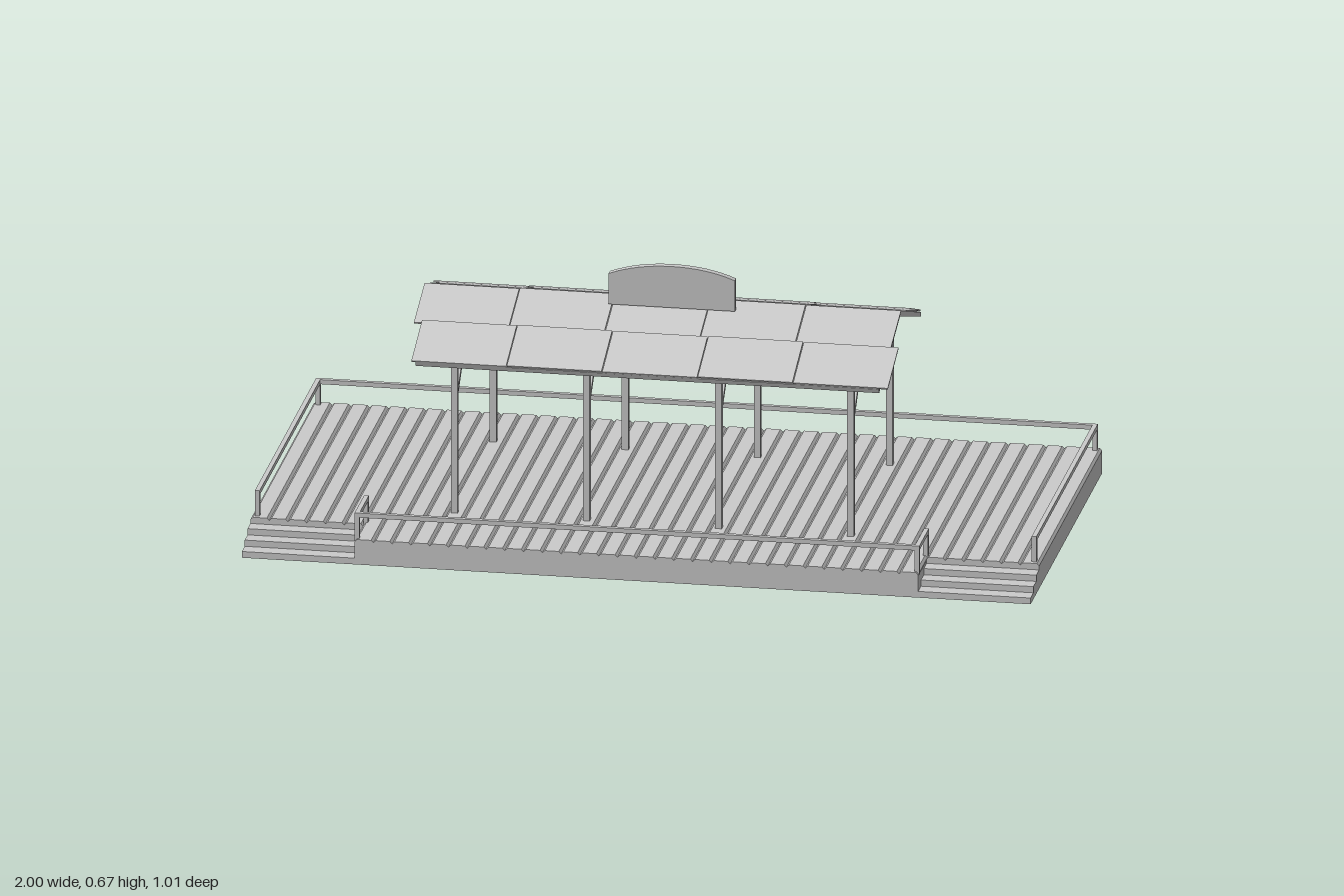
import * as THREE from 'three';

const grey = new THREE.MeshStandardMaterial({ color: 0xcccccc, flatShading: true });
const sheet = new THREE.MeshStandardMaterial({ color: 0xcccccc, flatShading: true, side: THREE.DoubleSide });

export function createModel() {
  const root = new THREE.Group();
  root.name = 'shelteredPlatform';

  const add = (name, geometry, parent, material = grey) => {
    const mesh = new THREE.Mesh(geometry, material);
    mesh.name = name;
    parent.add(mesh);
    return mesh;
  };
  const group = (name) => {
    const g = new THREE.Group();
    g.name = name;
    root.add(g);
    return g;
  };
  // Box given by its low and high corners
  const block = (name, parent, x0, x1, y0, y1, z0, z1) => {
    const m = add(name, new THREE.BoxGeometry(x1 - x0, y1 - y0, z1 - z0), parent);
    m.position.set((x0 + x1) / 2, (y0 + y1) / 2, (z0 + z1) / 2);
    return m;
  };
  // Slanted bar or board: its top face runs from (z0, y0) to (z1, y1)
  const slant = (name, parent, x0, x1, z0, y0, z1, y1, thick) => {
    const dz = z1 - z0, dy = y1 - y0, len = Math.hypot(dz, dy), s = Math.sign(dz);
    const m = add(name, new THREE.BoxGeometry(x1 - x0, thick, len), parent);
    m.rotation.x = -Math.atan2(dy * s, dz * s);
    m.position.set((x0 + x1) / 2, (y0 + y1) / 2 - (dz * s / len) * thick / 2,
      (z0 + z1) / 2 + (dy * s / len) * thick / 2);
    return m;
  };

  const deckY = 0.066, halfZ = 0.505, stepX = 0.715, stepZ = 0.385;

  // Deck of bevelled planks
  const deck = group('deck');
  const count = 42, pitch = 2 / count, h = pitch / 2;
  const plank = new THREE.Shape([
    [-h, 0.054], [h, 0.054], [h, 0.06], [h - 0.006, deckY], [-h + 0.006, deckY], [-h, 0.06],
  ].map(([x, y]) => new THREE.Vector2(x, y)));
  for (let i = 0; i < count; i++) {
    const x = -1 + (i + 0.5) * pitch;
    const front = Math.abs(x) < stepX ? halfZ : stepZ;
    const geo = new THREE.ExtrudeGeometry(plank, { depth: front + halfZ, bevelEnabled: false });
    add('plank', geo, deck).position.set(x, 0, -halfZ);
  }

  // Skirt walls around the hollow base
  const skirt = group('skirt');
  const t = 0.003, wallTop = 0.058;
  block('backWall', skirt, -1, 1, 0, wallTop, -halfZ, -halfZ + t);
  block('frontWall', skirt, -stepX, stepX, 0, wallTop, halfZ - t, halfZ);
  const rise = deckY / 4, run = (halfZ - stepZ) / 3;
  const profile = new THREE.Shape();
  profile.moveTo(halfZ, 0).lineTo(-halfZ, 0).lineTo(-halfZ, wallTop).lineTo(stepZ, wallTop);
  for (let i = 3; i > 0; i--) {
    profile.lineTo(halfZ - run * i, rise * i).lineTo(halfZ - run * (i - 1), rise * i);
  }
  for (const s of [-1, 1]) {
    const side = add('sideWall', new THREE.ShapeGeometry(profile), skirt, sheet);
    side.rotation.y = -Math.PI / 2;
    side.position.x = s;
    const a = Math.min(s * stepX, s), b = Math.max(s * stepX, s);
    const cheek = s * (stepX - t / 2);
    block('stepCheek', skirt, cheek - t / 2, cheek + t / 2, 0, wallTop, stepZ, halfZ);

    // Corner stairs of thin treads and risers
    const stairs = group(s > 0 ? 'leftStairs' : 'rightStairs');
    for (let i = 0; i < 4; i++) {
      const z = halfZ - run * i;
      const top = i < 3 ? rise * (i + 1) : wallTop;
      block('riser', stairs, a, b, rise * i, top, z - t, z);
      if (i < 3) block('tread', stairs, a, b, top - t, top, z - run, z);
    }
  }

  // Railing
  const railing = group('railing');
  const r = 0.006, rx = 0.985, rz = 0.49, cx = 0.71, sz = 0.367, rail0 = 0.121, rail1 = 0.133;
  block('backRail', railing, -rx - r, rx + r, rail0, rail1, -rz - r, -rz + r);
  block('frontRail', railing, -cx - r, cx + r, rail0, rail1, rz - r, rz + r);
  for (const s of [-1, 1]) {
    block('sideRail', railing, s * rx - r, s * rx + r, rail0, rail1, -rz, sz + r);
    block('returnRail', railing, s * cx - r, s * cx + r, rail0, rail1, sz - r, rz);
    for (const [x, z] of [[rx, -rz], [rx, sz], [cx, rz], [cx, sz]]) {
      block('railPost', railing, s * x - r, s * x + r, 0.058, rail0, z - r, z + r);
    }
  }

  // Posts and diagonal braces; the canopy is centred slightly behind the middle
  const frame = group('canopyFrame');
  const ridgeZ = -0.018, w = 0.0085;
  for (const x of [-0.505, -0.17, 0.165, 0.5]) {
    for (const s of [-1, 1]) {
      const z = ridgeZ + s * 0.274;
      block('post', frame, x - w, x + w, 0.058, 0.466, z - w, z + w);
      slant('brace', frame, x - 0.006, x + 0.006, ridgeZ + s * 0.272, 0.375, ridgeZ + s * 0.122, 0.522, 0.013);
    }
  }

  // Roof boards with staggered rows of sheet panels
  const roof = group('roof');
  const rows = [
    { s: 1, upper: -0.63, lower: -0.61 },
    { s: -1, upper: -0.618, lower: -0.635 },
  ];
  const panelW = 0.242;
  for (const { s, upper, lower } of rows) {
    slant('roofBoard', roof, -0.6, 0.575, ridgeZ, 0.568, ridgeZ + s * 0.299, 0.465, 0.012);
    for (let i = 0; i < 5; i++) {
      const lift = ((i * 3) % 5) * 0.0005;
      const u = upper + i * panelW, l = lower + i * panelW;
      slant('upperPanel', roof, u, u + panelW - 0.002, ridgeZ + s * 0.003, 0.571 + lift,
        ridgeZ + s * 0.155, 0.519 + lift, 0.004);
      slant('lowerPanel', roof, l, l + panelW - 0.002, ridgeZ + s * 0.15, 0.525 + lift,
        ridgeZ + s * 0.302, 0.469 + lift, 0.004);
    }
  }

  // Arched signboard with a sloping support plate behind it
  const sign = group('signboard');
  const board = new THREE.Shape();
  board.moveTo(-0.16, 0.562).lineTo(0.16, 0.562).lineTo(0.16, 0.643);
  board.quadraticCurveTo(0.09, 0.671, 0, 0.671).quadraticCurveTo(-0.09, 0.671, -0.16, 0.643);
  add('board', new THREE.ExtrudeGeometry(board, { depth: 0.019, bevelEnabled: false, curveSegments: 8 }), sign)
    .position.set(0.006, 0, 0.018);
  slant('supportPlate', sign, -0.093, 0.102, 0.02, 0.612, -0.024, 0.571, 0.008);

  return root;
}
